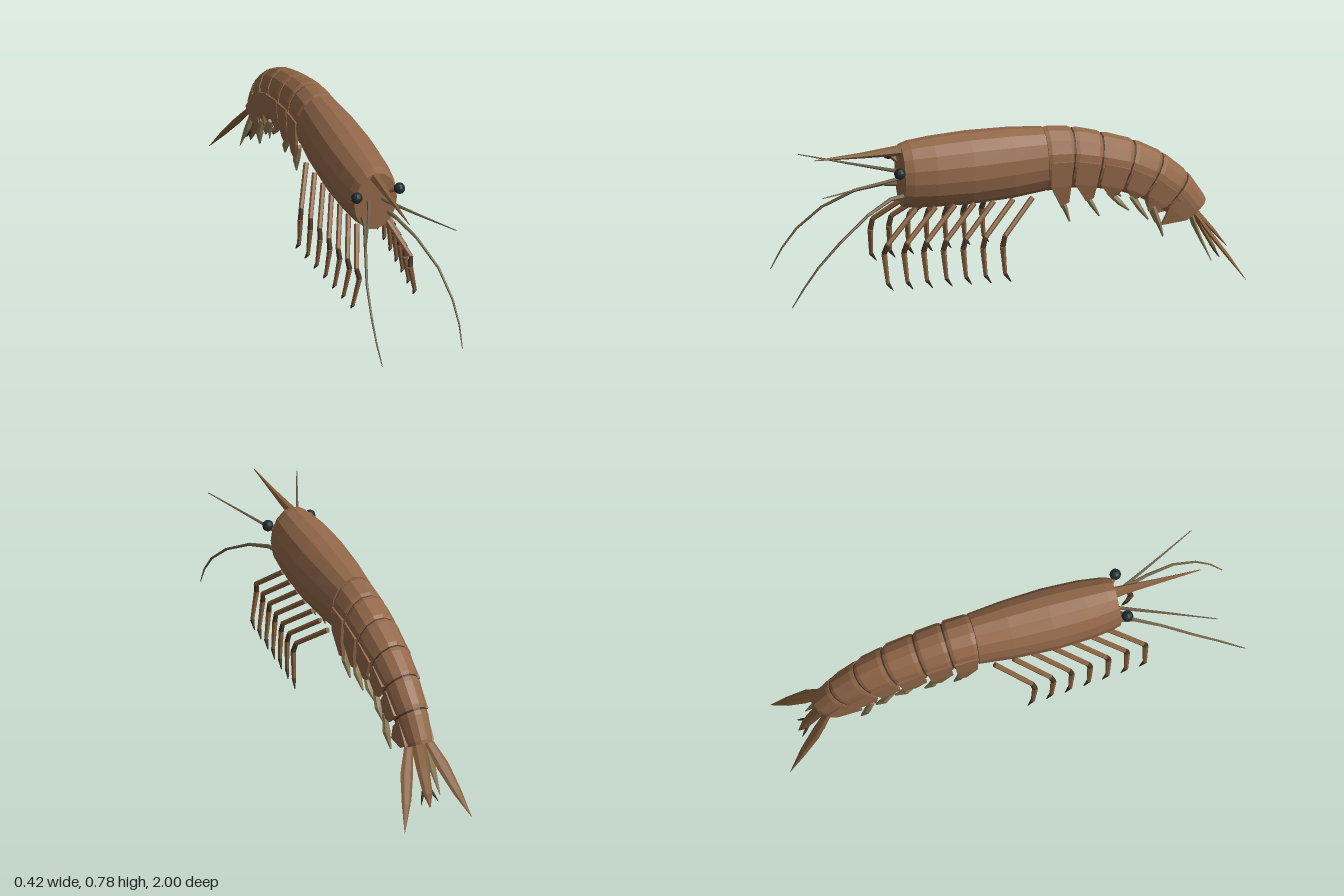
import * as THREE from 'three';
import { ConvexGeometry } from 'three/addons/geometries/ConvexGeometry.js';

const V = (x, y, z) => new THREE.Vector3(x, y, z);
const mat = (color) => new THREE.MeshStandardMaterial({ color, flatShading: true });
const shell = mat(0x94694a), limbBrown = mat(0x87603f), dark = mat(0x3d2e26);
const gap = mat(0x4d3728), pale = mat(0x90805c), olive = mat(0x6f6248), eyeMat = mat(0x1f2b2d);
const lerp = THREE.MathUtils.lerp;

// Elliptical ring of points around c with half axes s and v
function ring(c, s, v, n) {
  return Array.from({ length: n }, (_, i) => {
    const a = (i / n) * Math.PI * 2;
    return c.clone().addScaledVector(s, Math.cos(a)).addScaledVector(v, Math.sin(a));
  });
}

// Skin over a list of rings, capped at both ends
function loft(rings) {
  const pos = [];
  const tri = (...ps) => ps.forEach((p) => pos.push(p.x, p.y, p.z));
  const n = rings[0].length;
  for (let k = 0; k < rings.length - 1; k++) {
    const a = rings[k], b = rings[k + 1];
    for (let i = 0; i < n; i++) {
      const j = (i + 1) % n;
      tri(a[i], a[j], b[i]);
      tri(a[j], b[j], b[i]);
    }
  }
  const first = rings[0], last = rings[rings.length - 1];
  for (let i = 1; i < n - 1; i++) {
    tri(first[0], first[i + 1], first[i]);
    tri(last[0], last[i], last[i + 1]);
  }
  const g = new THREE.BufferGeometry();
  g.setAttribute('position', new THREE.Float32BufferAttribute(pos, 3));
  g.computeVertexNormals();
  return g;
}

// Tapered limb along points; each radius is a number or [across, deep]
function limb(points, radii, n = 6) {
  return loft(points.map((p, i) => {
    const t = points[Math.min(i + 1, points.length - 1)].clone()
      .sub(points[Math.max(i - 1, 0)]).normalize();
    const s = V(1, 0, 0).addScaledVector(t, -t.x).normalize();
    const v = t.clone().cross(s);
    const [rx, ry] = [radii[i]].flat().length > 1 ? radii[i] : [radii[i], radii[i]];
    return ring(p, s.multiplyScalar(rx), v.multiplyScalar(ry), n);
  }));
}

export function createModel() {
  const model = new THREE.Group();
  const add = (name, geo, material, parent = model) => {
    const m = new THREE.Mesh(geo, material);
    m.name = name;
    parent.add(m);
    return m;
  };

  // Carapace: z, half width, bottom, top
  const hull = [
    [-0.15, 0.105, 0.472, 0.765], [0.0, 0.121, 0.458, 0.779], [0.18, 0.13, 0.455, 0.785],
    [0.34, 0.124, 0.462, 0.781], [0.44, 0.11, 0.469, 0.774], [0.478, 0.098, 0.477, 0.764],
  ];
  add('carapace', loft(hull.map(([z, w, b, t]) =>
    ring(V(0, (b + t) / 2, z), V(w, 0, 0), V(0, (t - b) / 2, 0), 16))), shell);

  // Rostrum
  add('rostrum', limb([V(0, 0.74, 0.44), V(0, 0.74, 0.5), V(0, 0.738, 0.66), V(0, 0.74, 0.855)],
    [0.028, 0.022, 0.012, 0.002]), limbBrown);

  // Abdomen arc: top z, y; bottom z, y; half width at each joint
  const joints = [
    [-0.15, 0.765, -0.15, 0.47, 0.106], [-0.28, 0.748, -0.25, 0.475, 0.102],
    [-0.41, 0.707, -0.36, 0.46, 0.098], [-0.555, 0.65, -0.47, 0.43, 0.091],
    [-0.68, 0.573, -0.56, 0.39, 0.082], [-0.79, 0.465, -0.655, 0.32, 0.072],
    [-0.87, 0.33, -0.745, 0.25, 0.057],
  ];
  const section = (u) => { // joint values at fractional index u
    const i = Math.min(Math.floor(u), 5);
    return joints[i].map((v, k) => lerp(v, joints[i + 1][k], u - i));
  };
  const abdRing = (u, s) => {
    const [tz, ty, bz, by, w] = section(u);
    return ring(V(0, (ty + by) / 2, (tz + bz) / 2), V(w * s, 0, 0),
      V(0, (ty - by) / 2 * s, (tz - bz) / 2 * s), 14);
  };
  const at = (u, f) => { // side point at fraction f from top to bottom
    const [tz, ty, bz, by] = section(u);
    return [lerp(tz, bz, f), lerp(ty, by, f)];
  };
  add('abdomenCore', loft([6, 5, 4, 3, 2, 1, 0].map((u) =>
    abdRing(Math.min(u, 5.9), 0.93))), gap);

  const tips = [[-0.22, 0.43], [-0.33, 0.435], [-0.44, 0.435], [-0.55, 0.41], [-0.61, 0.34], [-0.67, 0.26]];
  const paddleTips = [[-0.25, 0.335], [-0.38, 0.345], [-0.51, 0.355], [-0.595, 0.3], [-0.66, 0.21]];
  for (let i = 0; i < 6; i++) {
    const seg = new THREE.Group();
    seg.name = `abdomenSegment${i + 1}`;
    model.add(seg);
    add('segmentRing', loft([[0.96, 0.96], [0.85, 1.01], [0.15, 1.01], [0.02, 0.97]]
      .map(([u, s]) => abdRing(i + u, s))), shell, seg);

    for (const side of [-1, 1]) {
      // Side plate hanging beside the segment
      const w = section(i + 0.5)[4];
      const outline = [[0.08, 0.4], [0.92, 0.4], [0.92, 0.8], [0.08, 0.8]]
        .map(([u, f]) => [...at(i + u, f), w]);
      const [pz, py] = tips[i];
      outline.push([pz - 0.02, py + 0.012, w * 0.88], [pz + 0.015, py, w * 0.88]);
      add('sidePlate', new ConvexGeometry(outline.flatMap(([z, y, x]) =>
        [V(side * (x + 0.004), y, z), V(side * (x - 0.009), y, z)])), shell, seg);

      // Swimming paddle under the segment
      if (i < 5) {
        const [rz, ry] = at(i + 0.5, 0.95), [ez, ey] = paddleTips[i];
        const root = V(side * 0.072, ry, rz), end = V(side * 0.064, ey, ez);
        const mid = root.clone().lerp(end, 0.5).add(V(side * 0.006, 0, 0));
        add('swimmingPaddle', limb([root, mid, end], [0.012, [0.018, 0.013], 0.004]), pale, seg);
      }
    }
  }

  // Tail fan
  const fan = new THREE.Group();
  fan.name = 'tailFan';
  model.add(fan);
  add('telson', limb([V(0, 0.3, -0.8), V(0, 0.2, -0.845), V(0, 0.1, -0.895), V(0, 0.045, -0.92)],
    [[0.036, 0.014], [0.03, 0.012], [0.022, 0.01], 0.002]), limbBrown, fan);

  for (const side of [-1, 1]) {
    const P = (x, y, z) => V(side * x, y, z);
    add('telsonSpine', limb([P(0.014, 0.12, -0.88), P(0.027, 0.09, -0.898), P(0.04, 0.063, -0.915)],
      [0.006, 0.006, 0.001], 5), dark, fan);
    add('outerTailBlade', limb([P(0.045, 0.3, -0.8), P(0.085, 0.2, -0.865), P(0.12, 0.1, -0.935), P(0.157, 0.002, -1)],
      [[0.02, 0.008], [0.029, 0.01], [0.02, 0.008], 0.001]), limbBrown, fan);
    add('innerTailBlade', limb([P(0.04, 0.29, -0.79), P(0.053, 0.18, -0.825), P(0.068, 0.065, -0.872)],
      [[0.013, 0.008], [0.017, 0.008], 0.002]), pale, fan);

    // Eye on its stalk
    add('eyeStalk', limb([P(0.058, 0.65, 0.465), P(0.098, 0.68, 0.505)], [0.012, 0.013]), limbBrown);
    add('eye', new THREE.SphereGeometry(0.025, 10, 8), eyeMat).position.copy(P(0.098, 0.68, 0.505));

    // Short and long feelers
    add('antennule', limb([P(0.03, 0.626, 0.47), P(0.04, 0.626, 0.5), P(0.12, 0.645, 0.68), P(0.208, 0.667, 0.872)],
      [0.01, 0.008, 0.005, 0.002]), olive);
    add('antenna', limb([P(0.058, 0.55, 0.47), P(0.075, 0.55, 0.54), P(0.118, 0.51, 0.65), P(0.165, 0.425, 0.78),
      P(0.186, 0.325, 0.885), P(0.19, 0.235, 0.95), P(0.184, 0.145, 1)],
    [0.011, 0.009, 0.007, 0.006, 0.005, 0.004, 0.002]), olive);

    // Walking legs, set wider toward the rear
    for (let k = 0; k < 7; k++) {
      const f = k / 6, z = lerp(0.575, 0.07, f);
      const leg = new THREE.Group();
      leg.name = 'walkingLeg';
      model.add(leg);
      const hip = P(lerp(0.065, 0.09, f), 0.485, z - 0.15);
      const kneeTop = P(lerp(0.125, 0.172, f), 0.36, z - 0.008);
      const kneeLow = P(lerp(0.117, 0.18, f), 0.315, z + 0.004);
      const ankle = P(lerp(0.142, 0.182, f), 0.185, z - 0.006);
      const claw = P(lerp(0.143, 0.188, f), 0.147, z - 0.03);
      add('upperLeg', limb([hip, kneeTop], [0.012, 0.011]), limbBrown, leg);
      add('knee', limb([kneeTop, kneeLow], [0.011, 0.012]), gap, leg);
      add('lowerLeg', limb([kneeLow, ankle], [0.013, 0.009]), limbBrown, leg);
      add('claw', limb([ankle, claw], [0.01, 0.002]), dark, leg);
    }
  }
  return model;
}
